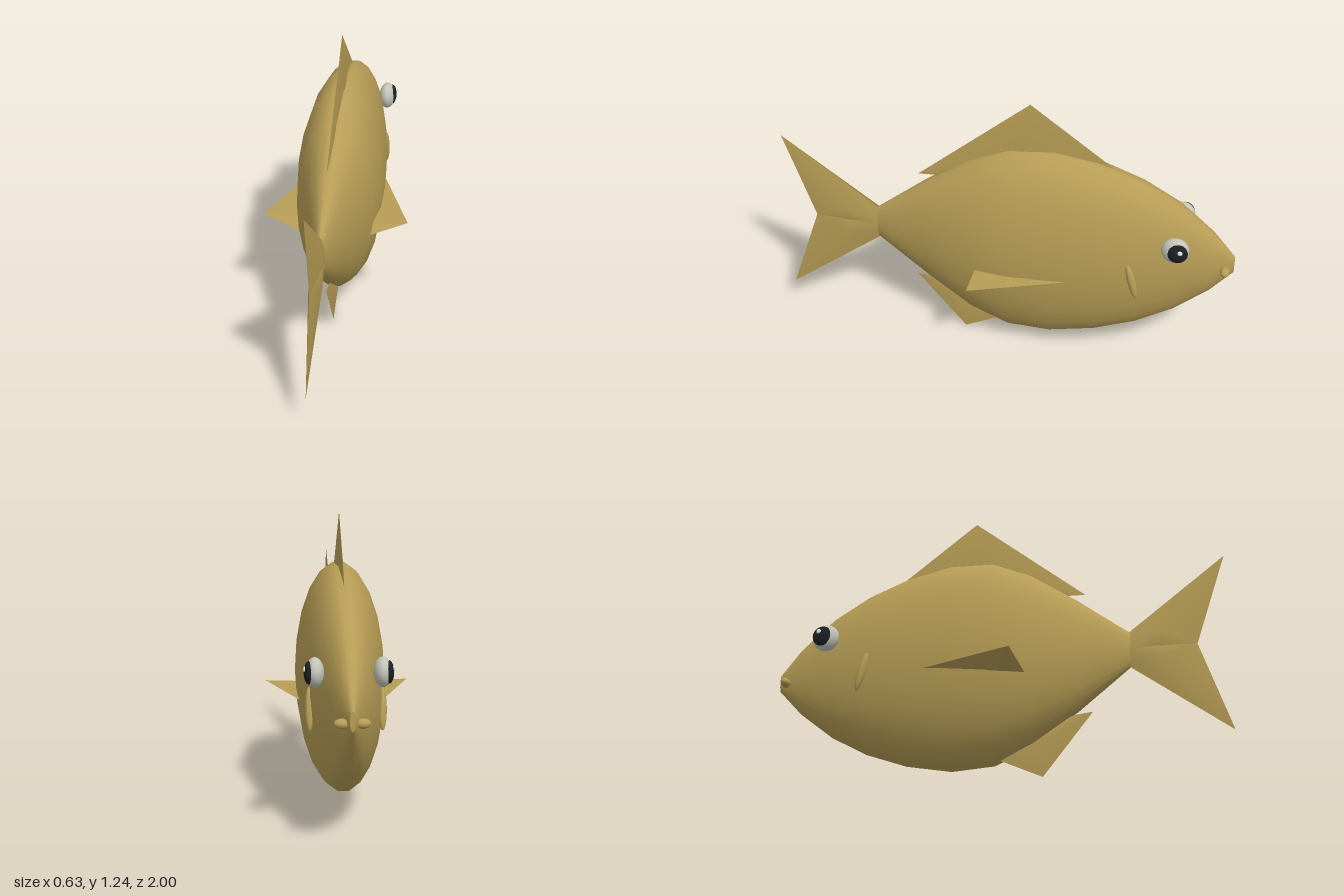
import * as THREE from 'three';
import { ConvexGeometry } from 'three/addons/geometries/ConvexGeometry.js';

const mat = (name, color) => Object.assign(new THREE.MeshStandardMaterial({ color }), { name });

// Indexed geometry from points and triangles, with smooth normals
function geometryFrom(points, faces) {
  const g = new THREE.BufferGeometry();
  g.setAttribute('position', new THREE.Float32BufferAttribute(points.flat(), 3));
  g.setIndex(faces.flat());
  g.computeVertexNormals();
  return g;
}

// Oval cross-sections joined along z: [z, top, bottom, half width]
function bodyGeometry() {
  const sections = [
    [-1, 0.58, 0.5, 0.012], [-0.9, 0.7, 0.385, 0.055], [-0.75, 0.83, 0.26, 0.103],
    [-0.59, 0.922, 0.168, 0.142], [-0.41, 0.99, 0.1, 0.17], [-0.21, 1.03, 0.06, 0.186],
    [-0.02, 1.02, 0.07, 0.188], [0.15, 0.945, 0.145, 0.164], [0.35, 0.805, 0.285, 0.096],
    [0.58, 0.625, 0.465, 0.02],
  ];
  const n = 22, points = [], faces = [];
  const ring = ([z, top, bottom, w]) => {
    for (let j = 0; j < n; j++) {
      const a = (j + 0.5) / n * Math.PI * 2;
      points.push([w * Math.sin(a), (top + bottom) / 2 + (top - bottom) / 2 * Math.cos(a), z]);
    }
  };
  sections.forEach(ring);
  for (let i = 0; i < sections.length - 1; i++) {
    for (let j = 0; j < n; j++) {
      const a = i * n + j, b = i * n + (j + 1) % n;
      faces.push([a, a + n, b], [b, a + n, b + n]);
    }
  }
  // Flat ends at the snout and tail root
  for (const s of [sections[0], sections[sections.length - 1]]) {
    const start = points.length, front = s === sections[0];
    ring(s);
    points.push([0, (s[1] + s[2]) / 2, s[0]]);
    for (let j = 0; j < n; j++) {
      const a = start + j, b = start + (j + 1) % n;
      faces.push(front ? [start + n, a, b] : [start + n, b, a]);
    }
  }
  return geometryFrom(points, faces);
}

// Sharp-edged fin: outline [z, y, half thickness] swelling to a peak on both sides
function finGeometry(outline, peak) {
  const area = THREE.ShapeUtils.area(outline.map(([z, y]) => new THREE.Vector2(y, z)));
  const loop = area < 0 ? [...outline].reverse() : outline;
  const points = [], faces = [];
  for (const s of [1, -1]) {
    const c = points.length, n = loop.length;
    for (const [z, y, x = 0] of [peak, ...loop]) points.push([s * x, y, z]);
    for (let i = 0; i < n; i++) {
      const a = c + 1 + i, b = c + 1 + (i + 1) % n;
      faces.push(s > 0 ? [c, a, b] : [c, b, a]);
    }
  }
  return geometryFrom(points, faces);
}

export function createModel() {
  const group = new THREE.Group();
  const gold = mat('goldScales', 0xb79d55);
  gold.side = THREE.DoubleSide;
  const eyeWhite = mat('eyeGrey', 0xc3c5b8);
  const black = mat('pupilBlack', 0x1b2024);
  const white = mat('glintWhite', 0xffffff);

  const add = (name, geometry, material) => {
    const mesh = new THREE.Mesh(geometry, material);
    mesh.name = name;
    group.add(mesh);
    return mesh;
  };
  const ball = (name, material, position, radii) => {
    const mesh = add(name, new THREE.SphereGeometry(1, 20, 14), material);
    mesh.position.set(...position);
    mesh.scale.set(...radii);
    return mesh;
  };

  add('body', bodyGeometry(), gold);

  // Fins on the centre line
  add('dorsalFin', finGeometry(
    [[0.39, 0.83], [-0.1, 1.243], [-0.46, 0.97], [-0.3, 0.9], [0.28, 0.835]],
    [-0.06, 1.01, 0.02]), gold);
  add('analFin', finGeometry(
    [[0.41, 0.275], [0.19, 0], [-0.04, 0.11], [0.1, 0.2], [0.34, 0.268]],
    [0.17, 0.14, 0.016]), gold);

  // Forked tail, the lower lobe mirroring the upper about its middle
  const mid = 0.545;
  for (const s of [1, -1]) {
    const at = (z, dy, x) => [z, mid + s * dy, x];
    add(s > 0 ? 'upperTailLobe' : 'lowerTailLobe', finGeometry(
      [at(0.57, 0.075, 0.006), at(1, 0.405, 0), at(0.865, 0, 0.003), at(0.7, 0, 0.016), at(0.57, 0, 0.02)],
      at(0.72, 0.06, 0.028)), gold);
  }

  // Paired parts on both flanks
  for (const s of [1, -1]) {
    const side = s > 0 ? 'left' : 'right';

    const corners = [[0.178, 0.47, -0.29], [0.315, 0.47, 0.115], [0.15, 0.415, 0.148],
      [0.13, 0.465, 0.11], [0.175, 0.428, 0]];
    add(side + 'PectoralFin', new ConvexGeometry(
      corners.map(([x, y, z]) => new THREE.Vector3(s * x, y, z))), gold);

    const gill = ball(side + 'Gill', gold, [s * 0.147, 0.495, -0.575], [0.018, 0.09, 0.018]);
    gill.rotation.x = 0.25;

    ball(side + 'Nostril', gold, [s * 0.04, 0.525, -0.963], [0.032, 0.02, 0.021]);

    ball(side + 'Eye', eyeWhite, [s * 0.133, 0.68, -0.75], [0.037, 0.06, 0.06]);
    ball(side + 'Pupil', black, [s * 0.155, 0.681, -0.76], [0.021, 0.046, 0.045]);
    ball(side + 'Glint', white, [s * 0.173, 0.697, -0.772], [0.006, 0.011, 0.011]);
  }
  return group;
}
